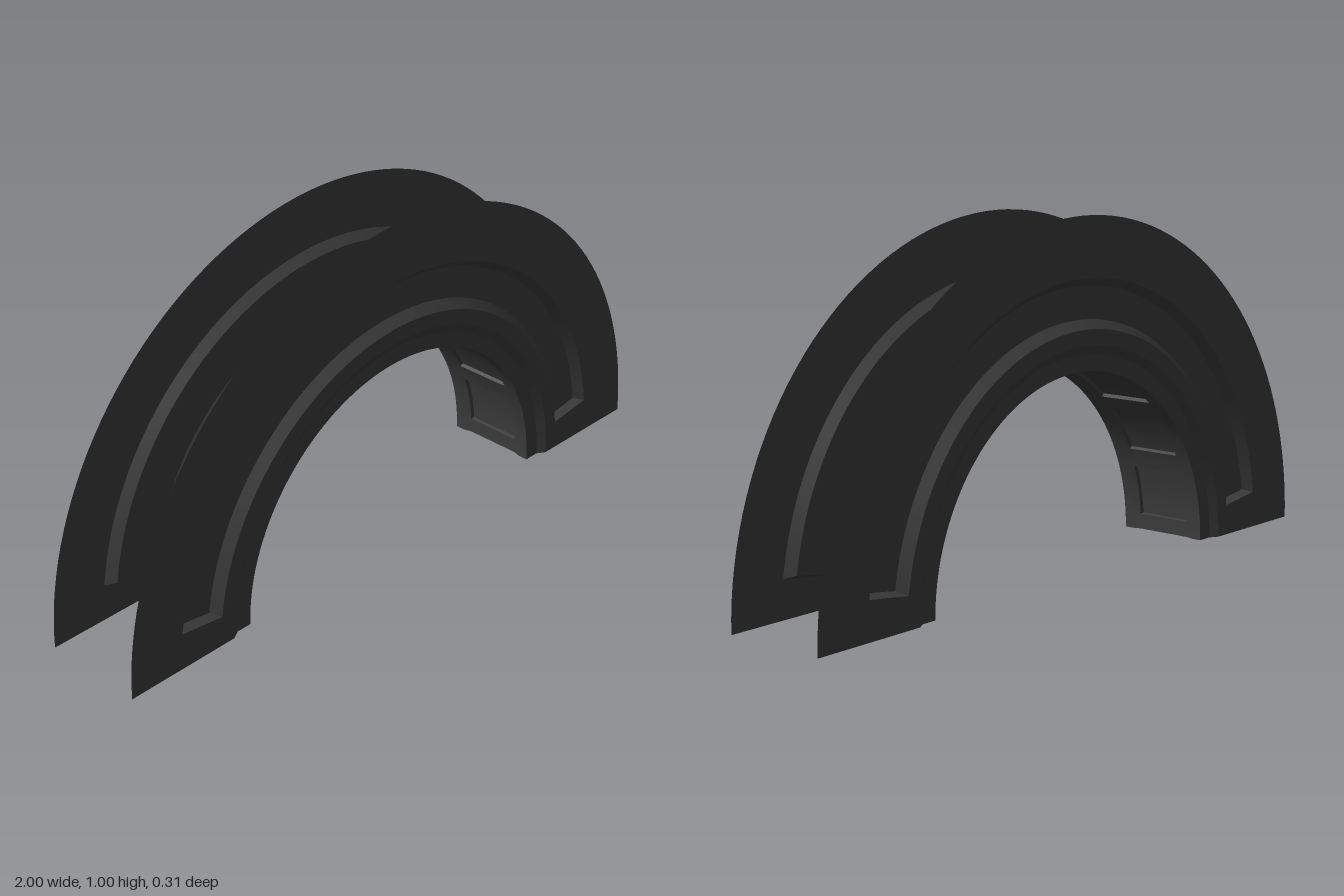
import * as THREE from 'three';
import { toCreasedNormals } from 'three/addons/utils/BufferGeometryUtils.js';

const material = new THREE.MeshStandardMaterial({ color: 0x3c3c3c, side: THREE.DoubleSide });

// Evenly spaced angles over the half circle, merged with the breaks a relief needs
function angleList(breaks) {
  const list = breaks.filter((a) => a > 0 && a < 180);
  for (let a = 0; a <= 180; a += 2.5) {
    if (!breaks.some((b) => Math.abs(b - a) < 0.4)) list.push(a);
  }
  return list.sort((p, q) => p - q);
}

// Sheet swept round the arch: at(angle, station) gives [radius, z]
function archSheet(name, angles, stations, at) {
  const positions = [];
  const indices = [];
  const n = stations.length;
  const value = angles.map((a) => stations.map((s) => at(a, s)));
  angles.forEach((a, i) => {
    const t = THREE.MathUtils.degToRad(a);
    value[i].forEach(([r, z]) => positions.push(r * Math.cos(t), r * Math.sin(t), z));
  });
  const gap = (p, q) => Math.hypot(p[0] - q[0], p[1] - q[1]);
  for (let i = 0; i < angles.length - 1; i++) {
    for (let j = 0; j < n - 1; j++) {
      const a = i * n + j, b = a + 1, c = a + n + 1, d = a + n;
      // Split along the steeper diagonal so relief corners are mitred
      const ac = gap(value[i][j], value[i + 1][j + 1]);
      const bd = gap(value[i][j + 1], value[i + 1][j]);
      if (ac >= bd) indices.push(a, b, c, a, c, d);
      else indices.push(a, b, d, b, c, d);
    }
  }
  const geometry = new THREE.BufferGeometry();
  geometry.setAttribute('position', new THREE.Float32BufferAttribute(positions, 3));
  geometry.setIndex(indices);
  const mesh = new THREE.Mesh(toCreasedNormals(geometry, 0.4), material);
  mesh.name = name;
  return mesh;
}

// Inner drum with eight panels embossed outward
function innerDrum() {
  const quarter = [12.35, 34.05, 55.95, 77.65];
  const centres = [...quarter, ...quarter.map((a) => 180 - a)];
  const half = 7.5, wall = 0.25;
  const breaks = centres.flatMap((c) => [c - half - wall, c - half, c + half, c + half + wall]);
  const stations = [-0.14, -0.11, -0.087, -0.084, 0.084, 0.087, 0.11, 0.14];
  return archSheet('innerDrum', angleList(breaks), stations, (a, z) => {
    const onPanel = Math.abs(z) < 0.085 && centres.some((c) => Math.abs(a - c) < half + 0.01);
    if (onPanel) return [0.59, z];
    return [Math.abs(z) < 0.1 ? 0.58 : 0.573, z];
  });
}

// Side plate with a stepped inner shoulder and a long bevelled recess
function sidePlate(name, side) {
  const rim = 6.8, floor = 8.3;
  const angles = angleList([rim, floor, 180 - floor, 180 - rim]);
  const radii = [0.573, 0.62, 0.645, 0.69, 0.715, 0.807, 0.83, 1];
  return archSheet(name, angles, radii, (a, r) => {
    let z = r < 0.63 ? 0.14 : 0.155;
    const inFloor = r > 0.7 && r < 0.82 && a > floor - 0.01 && a < 180.01 - floor;
    if (inFloor) z = 0.13;
    return [r, side * z];
  });
}

export function createModel() {
  const model = new THREE.Group();
  model.name = 'halfRing';
  model.add(innerDrum(), sidePlate('frontPlate', 1), sidePlate('backPlate', -1));
  return model;
}
